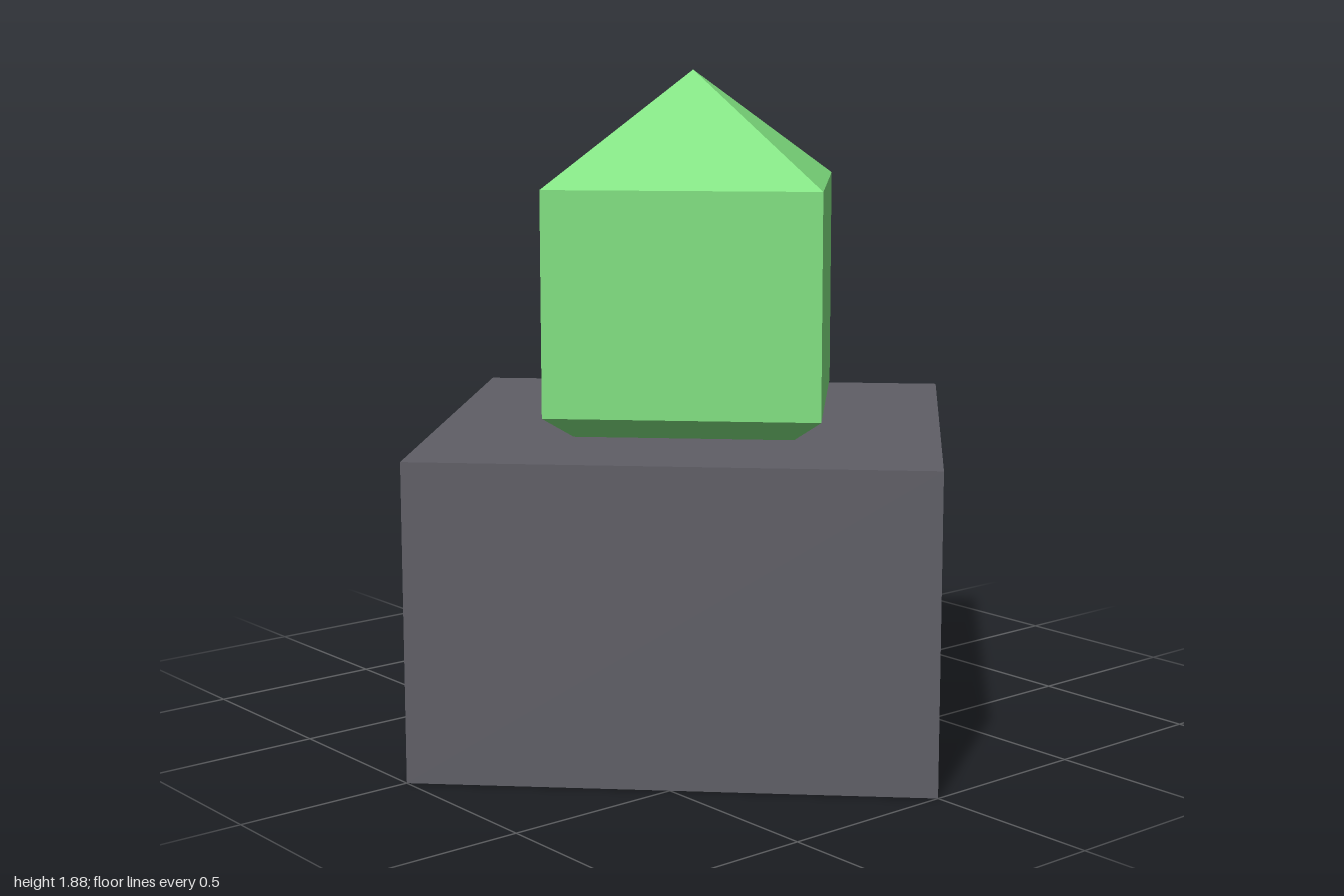
import * as THREE from 'three';

export function createModel() {
  const group = new THREE.Group();
  group.name = 'crystalOnPedestal';

  const stone = new THREE.MeshStandardMaterial({ color: 0x5f5e66, flatShading: true });
  stone.name = 'dark grey stone';
  const green = new THREE.MeshStandardMaterial({ color: 0x80e080, flatShading: true });
  green.name = 'light green crystal';

  // Square pedestal with its corners on the x and z axes
  const pedestalHeight = 0.875;
  const pedestal = new THREE.Mesh(new THREE.CylinderGeometry(1, 1, pedestalHeight, 4), stone);
  pedestal.name = 'pedestal';
  pedestal.position.y = pedestalHeight / 2;
  group.add(pedestal);

  // Four-sided crystal, pointed at both ends, its lower tip sunk in the pedestal
  const radius = 0.54;
  const profile = [[0, 0.625], [radius, 0.9375], [radius, 1.5625], [0, 1.875]]
    .map(([r, y]) => new THREE.Vector2(r, y));
  const crystal = new THREE.Mesh(new THREE.LatheGeometry(profile, 4), green);
  crystal.name = 'crystal';
  group.add(crystal);

  return group;
}
